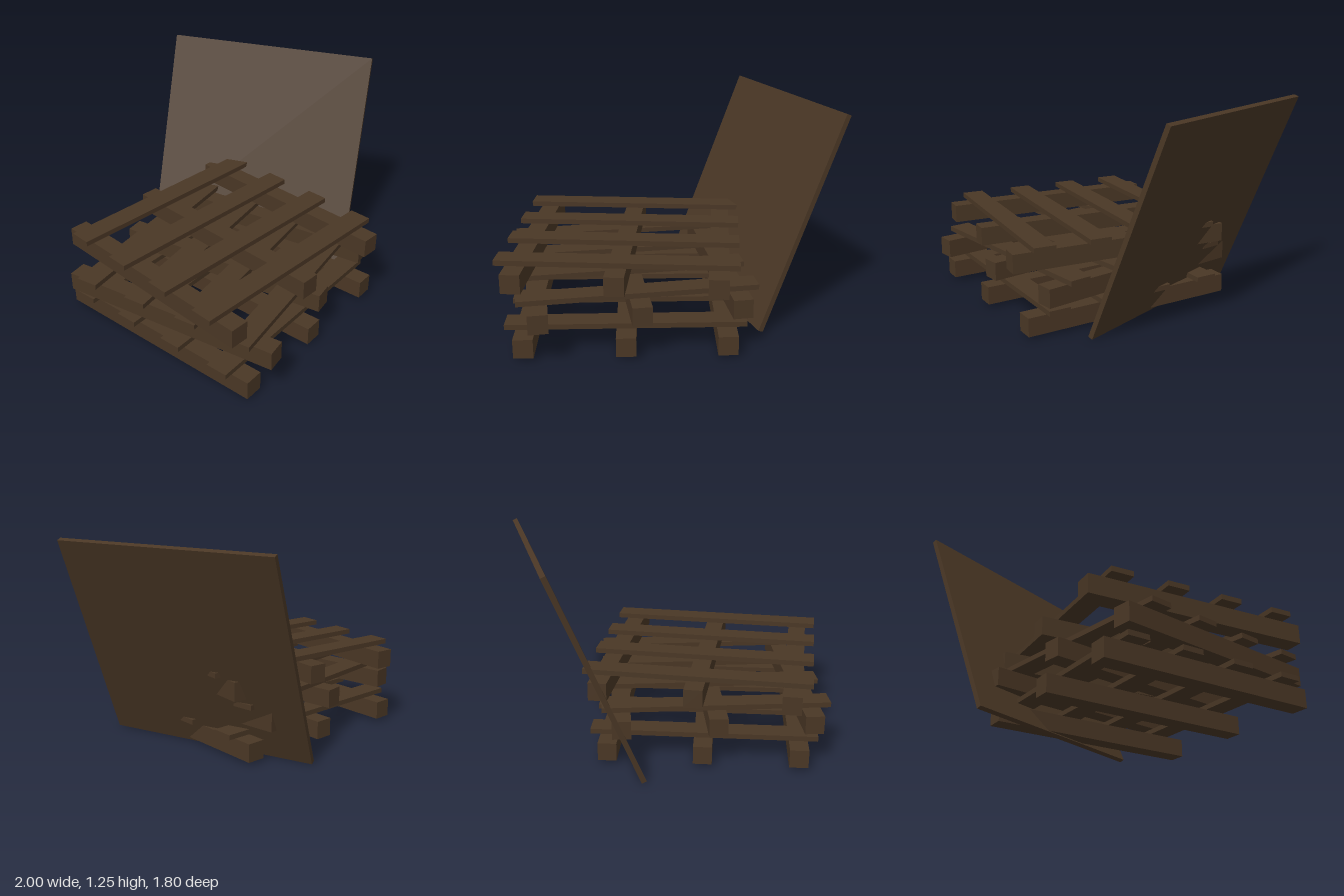
import * as THREE from 'three';

const wood = new THREE.MeshStandardMaterial({ color: 0x4a3725 });
wood.name = 'dark wood';

function box(name, w, h, d, x, y, z) {
  const mesh = new THREE.Mesh(new THREE.BoxGeometry(w, h, d), wood);
  mesh.name = name;
  mesh.position.set(x, y, z);
  return mesh;
}

// One pallet: three runners front to back, four slats across the top
function pallet(y, turn) {
  const group = new THREE.Group();
  group.name = 'pallet';
  for (let i = -1; i <= 1; i++) {
    group.add(box('runner', 0.11, 0.11, 1.335, i * 0.555, 0.055, 0));
  }
  for (let i = 0; i < 4; i++) {
    group.add(box('slat', 1.335, 0.03, 0.13, 0, 0.134, (i - 1.5) * 0.334));
  }
  group.position.set(-0.264, y, 0.151);
  group.rotation.y = turn;
  return group;
}

export function createModel() {
  const model = new THREE.Group();
  model.name = 'palletStack';

  // Stack of three, each turned a little
  [0, 0.138, -0.09].forEach((turn, i) => model.add(pallet(0.018 + i * 0.178, turn)));

  // Square board tilted beside the stack
  const board = box('leaningBoard', 0.03, 1.335, 1.333, 0.516, 0.624, -0.187);
  board.rotation.set(0, 0.349, -0.387);
  model.add(board);

  return model;
}
